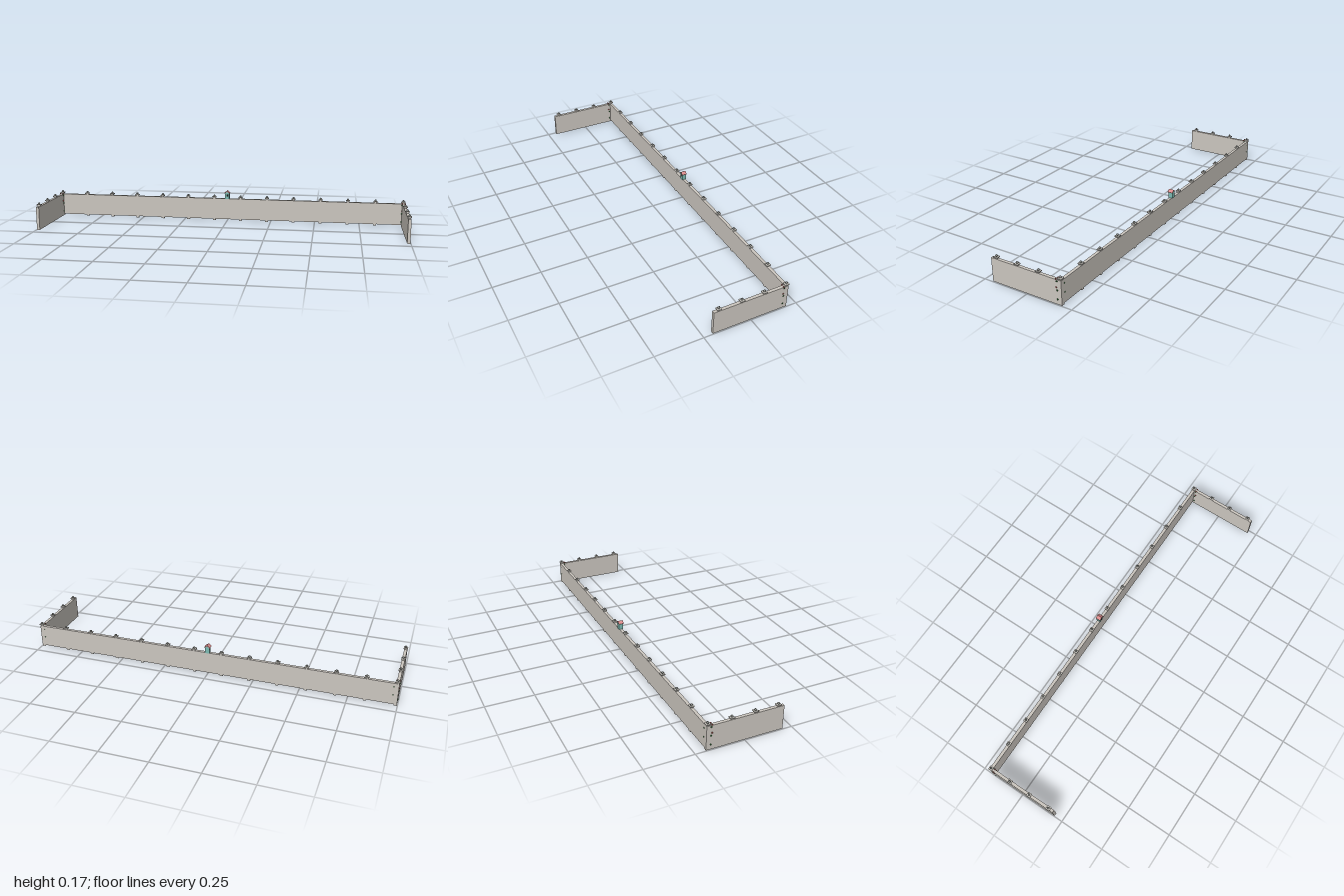
import * as THREE from 'three';

const mat = (name, color) => {
  const m = new THREE.MeshStandardMaterial({ color });
  m.name = name;
  return m;
};

export function createModel() {
  const stone = mat('stone', 0xcbc6bf);
  const cap = mat('cap stone', 0xd0cdc6);
  const metal = mat('grey metal', 0x858884);
  const green = mat('leaf green', 0x2f6b35);
  const red = mat('flower red', 0xa8554f);
  const teal = mat('teal paint', 0x7dbbb3);
  const pink = mat('roof pink', 0xd98c8c);
  const dark = mat('dark wood', 0x4a4a46);

  const model = new THREE.Group();
  model.name = 'wall';
  const add = (parent, name, geometry, material, x, y, z) => {
    const mesh = new THREE.Mesh(geometry, material);
    mesh.name = name;
    mesh.position.set(x, y, z);
    parent.add(mesh);
    return mesh;
  };
  const box = (w, h, d) => new THREE.BoxGeometry(w, h, d);

  const T = 0.016, TOP = 0.128, SIDE_X = 0.989, BACK_Z = -0.188;
  const STEP_X = 0.152, STEP_Z = 0.1207;

  // Capped post end with a small ball on top
  const neckGeo = box(0.012, 0.007, 0.012);
  const plateGeo = box(0.022, 0.005, 0.022);
  const ballGeo = new THREE.SphereGeometry(0.006, 10, 8);
  const finial = (x, z) => {
    const g = new THREE.Group();
    g.name = 'finial';
    g.position.set(x, 0, z);
    add(g, 'neck', neckGeo, cap, 0, 0.13, 0);
    add(g, 'capPlate', plateGeo, cap, 0, 0.1355, 0);
    add(g, 'ball', ballGeo, metal, 0, 0.1425, 0);
    model.add(g);
  };

  // Back wall: thirteen equal panels on small feet
  const backGeo = box(STEP_X, TOP - 0.008, T);
  for (let i = -6; i <= 6; i++) {
    add(model, 'backPanel', backGeo, stone, i * STEP_X, (TOP + 0.008) / 2, BACK_Z);
  }
  for (let i = 0; i < 14; i++) {
    const x = (i - 6.5) * STEP_X;
    finial(x, BACK_Z);
    if (i > 0 && i < 13) add(model, 'foot', box(0.016, 0.01, 0.014), cap, x, 0.005, BACK_Z);
  }

  // Side walls: a corner stub, three panels and a front stub
  const cuts = [-0.196, BACK_Z, BACK_Z + STEP_Z, BACK_Z + 2 * STEP_Z, BACK_Z + 3 * STEP_Z, 0.202];
  const studGeo = new THREE.SphereGeometry(0.004, 8, 6);
  for (const s of [-1, 1]) {
    for (let i = 0; i < cuts.length - 1; i++) {
      const length = cuts[i + 1] - cuts[i];
      add(model, 'sidePanel', box(T, TOP - 0.001, length), stone,
        s * SIDE_X, (TOP + 0.001) / 2, (cuts[i] + cuts[i + 1]) / 2);
      if (i > 1) finial(s * SIDE_X, cuts[i]);
    }
    // Studs by the back corners, on both faces of the side wall
    for (const face of [-1, 1]) {
      const x = s * SIDE_X + face * (T / 2);
      for (const y of [0.121, 0.074, 0.027]) add(model, 'sideStud', studGeo, green, x, y, -0.173);
      for (const y of [0.131, 0.089]) add(model, 'redStud', studGeo, red, x, y, -0.169);
    }
    for (const y of [0.107, 0.06]) add(model, 'backStud', studGeo, green, s * 0.972, y, -0.194);
  }

  // Little gabled house in the middle of the back wall
  const house = new THREE.Group();
  house.name = 'house';
  house.position.z = BACK_Z;
  model.add(house);
  const gable = new THREE.Shape([
    [-0.012, 0.127], [0.012, 0.127], [0.012, 0.161], [0, 0.17], [-0.012, 0.161],
  ].map(p => new THREE.Vector2(...p)));
  add(house, 'houseBody', new THREE.ExtrudeGeometry(gable, { depth: 0.023, bevelEnabled: false }),
    teal, 0, 0, -0.0115);
  const roof = new THREE.Shape([
    [-0.016, 0.162], [-0.014, 0.159], [0, 0.17], [0.014, 0.159], [0.016, 0.162], [0, 0.174],
  ].map(p => new THREE.Vector2(...p)));
  add(house, 'houseRoof', new THREE.ExtrudeGeometry(roof, { depth: 0.028, bevelEnabled: false }),
    pink, 0, 0, -0.013);
  add(house, 'houseDoor', box(0.007, 0.012, 0.002), dark, 0, 0.149, 0.0125);

  return model;
}
